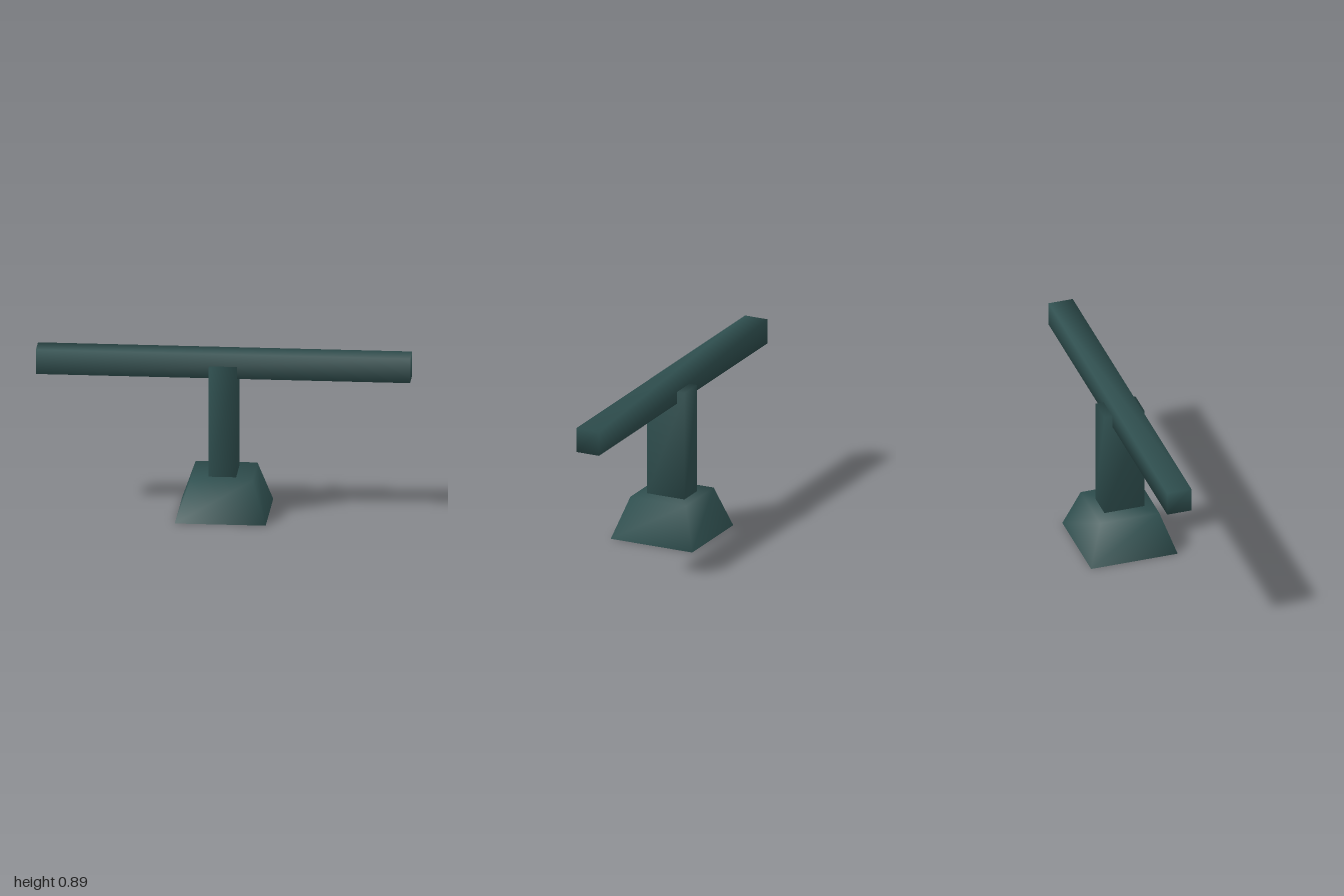
import * as THREE from 'three';
import { mergeVertices } from 'three/addons/utils/BufferGeometryUtils.js';

// Box with shared corners, so the shading runs smoothly round its edges
function softBox(w, h, d, { topScale = 1, openBottom = false } = {}) {
  let geo = new THREE.BoxGeometry(w, h, d);
  const pos = geo.attributes.position;
  for (let i = 0; i < pos.count; i++) {
    if (pos.getY(i) > 0) {
      pos.setX(i, pos.getX(i) * topScale);
      pos.setZ(i, pos.getZ(i) * topScale);
    }
  }
  geo.clearGroups();
  if (openBottom) {
    // the fourth box side is the underside
    const index = Array.from(geo.index.array);
    index.splice(18, 6);
    geo.setIndex(index);
  }
  geo.deleteAttribute('normal');
  geo.deleteAttribute('uv');
  geo = mergeVertices(geo);
  geo.computeVertexNormals();
  return geo;
}

export function createModel() {
  const group = new THREE.Group();

  const slate = new THREE.MeshStandardMaterial({ color: 0x2f4f4f, side: THREE.DoubleSide });
  slate.name = 'dark slate';
  const white = new THREE.MeshStandardMaterial({ color: 0xffffff });
  white.name = 'white';

  const add = (name, geo, material, y0, y1) => {
    const mesh = new THREE.Mesh(geo, material);
    mesh.name = name;
    mesh.position.y = (y0 + y1) / 2;
    group.add(mesh);
  };

  // Tapered foot, hollow underneath
  add('base', softBox(0.486, 0.225, 0.486, { topScale: 0.68, openBottom: true }), slate, 0, 0.225);
  // Pale block filling the hollow foot
  add('baseCore', softBox(0.33, 0.218, 0.33), white, 0.002, 0.22);
  // Upright post
  add('post', softBox(0.148, 0.603, 0.224), slate, 0.223, 0.826);
  // Long crossbar
  add('crossbar', softBox(2, 0.135, 0.135), slate, 0.76, 0.895);

  return group;
}
